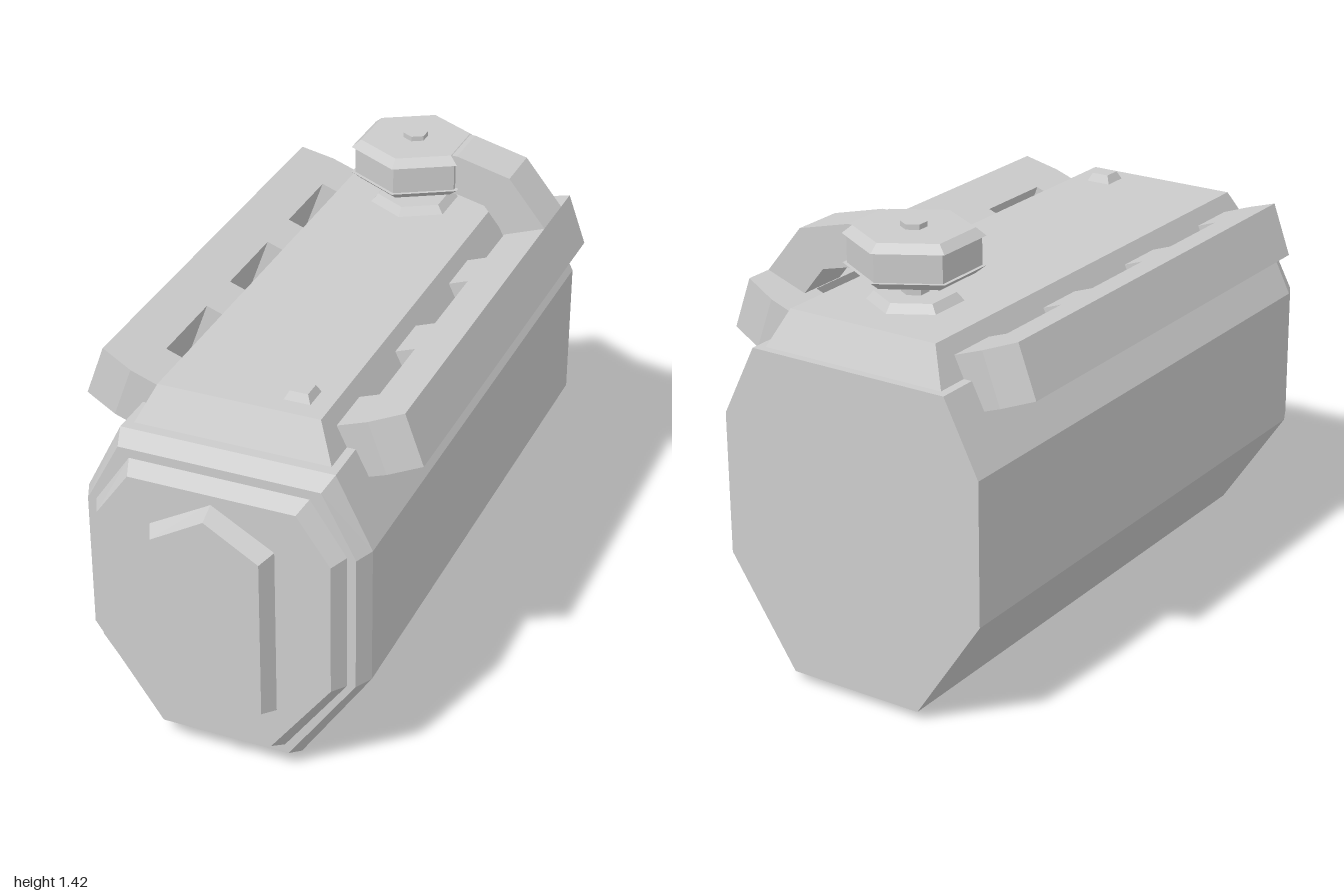
import * as THREE from 'three';

const material = new THREE.MeshStandardMaterial({ color: 0xcccccc, flatShading: true });

function add(parent, name, geometry) {
  const mesh = new THREE.Mesh(geometry, material);
  mesh.name = name;
  parent.add(mesh);
  return mesh;
}

// Joins convex loops of [x, y, z] points (counter-clockwise seen from the last loop) and caps both ends
function loft(loops) {
  const out = [];
  const tri = (a, b, c) => out.push(...a, ...b, ...c);
  const n = loops[0].length;
  for (let k = 0; k < loops.length - 1; k++) {
    const a = loops[k], b = loops[k + 1];
    for (let i = 0; i < n; i++) {
      const j = (i + 1) % n;
      tri(a[i], a[j], b[j]);
      tri(a[i], b[j], b[i]);
    }
  }
  const first = loops[0], last = loops[loops.length - 1];
  for (let i = 1; i < n - 1; i++) {
    tri(first[0], first[i + 1], first[i]);
    tri(last[0], last[i], last[i + 1]);
  }
  const g = new THREE.BufferGeometry();
  g.setAttribute('position', new THREE.Float32BufferAttribute(out, 3));
  g.computeVertexNormals();
  return g;
}

// Symmetric octagon from bottom, side and top half widths and heights
function octagon(z, bottomX, bottomY, sideX, lowY, highY, topX, topY) {
  const half = [[bottomX, bottomY], [sideX, lowY], [sideX, highY], [topX, topY]];
  return [...half, ...half.slice().reverse().map(([x, y]) => [-x, y])].map(([x, y]) => [x, y, z]);
}

// Tall hexagon for the front plate
function hexagon(z, w, low, lowSide, highSide, high) {
  return [[0, low], [w, lowSide], [w, highSide], [0, high], [-w, highSide], [-w, lowSide]].map(([x, y]) => [x, y, z]);
}

// Horizontal rectangle
const rect = (y, x0, x1, z0, z1) => [[x1, y, z1], [x1, y, z0], [x0, y, z0], [x0, y, z1]];

// Notched side rail, laid out flat and tilted onto the shoulder
function railGeometry() {
  const centre = -0.09, halfLength = 0.772, notch = 0.145, tooth = 0.213;
  const pts = [[0, 0.745], [0.11, halfLength], [tooth, halfLength]];
  for (const [start, end] of [[0.6, 0.315], [0.145, -0.145], [-0.315, -0.6]]) {
    pts.push([tooth, start], [notch, start], [notch, end], [tooth, end]);
  }
  pts.push([tooth, -halfLength], [0.11, -halfLength], [0, -0.745]);
  const shape = new THREE.Shape(pts.map(([s, z]) => new THREE.Vector2(s, z)));
  const g = new THREE.ExtrudeGeometry(shape, { depth: 0.175, bevelEnabled: false });
  const tilt = 0.347, c = Math.cos(tilt), s = Math.sin(tilt);
  const m = new THREE.Matrix4().makeBasis(
    new THREE.Vector3(-c, -s, 0), new THREE.Vector3(0, 0, -1), new THREE.Vector3(s, -c, 0));
  m.setPosition(0.48, 1.198, 0);
  g.applyMatrix4(m);
  return { geometry: g, centre };
}

export function createModel() {
  const model = new THREE.Group();
  model.name = 'canister';

  // Main tank with bevelled front edge, and the stepped front cap
  add(model, 'tank', loft([
    octagon(-1, 0.228, 0.03, 0.455, 0.372, 0.83, 0.34, 1.06),
    octagon(0.83, 0.228, 0.03, 0.455, 0.372, 0.83, 0.34, 1.06),
    octagon(0.89, 0.21, 0.06, 0.428, 0.377, 0.826, 0.32, 1.03),
  ]));
  add(model, 'frontCap', loft([
    octagon(0.88, 0.198, 0.09, 0.4, 0.372, 0.83, 0.285, 1.0),
    octagon(0.89, 0.198, 0.09, 0.4, 0.372, 0.83, 0.285, 1.0),
    octagon(0.945, 0.177, 0.118, 0.372, 0.382, 0.822, 0.265, 0.973),
  ]));
  add(model, 'frontPlate', loft([
    hexagon(0.94, 0.2, 0.145, 0.26, 0.83, 0.945),
    hexagon(1, 0.172, 0.175, 0.278, 0.812, 0.915),
  ]));

  // Bottom and top plates
  add(model, 'bottomPlate', loft([
    rect(0, -0.17, 0.17, -0.945, 0.775), rect(0.031, -0.2, 0.2, -0.972, 0.8),
  ]));
  add(model, 'topPlate', loft([
    rect(1.055, -0.315, 0.315, -0.975, 0.797), rect(1.174, -0.258, 0.258, -0.92, 0.742),
  ]));
  add(model, 'button', loft([
    rect(1.17, 0.113, 0.2, 0.595, 0.682), rect(1.2, 0.128, 0.186, 0.61, 0.667),
  ]));

  // Side rails: the right one is the left one turned half round
  const { geometry, centre } = railGeometry();
  for (const [name, turn] of [['leftRail', 0], ['rightRail', Math.PI]]) {
    const rail = add(model, name, geometry);
    rail.rotation.y = turn;
    rail.position.z = centre;
  }

  // Hexagonal valve, turned as one profile
  const valve = new THREE.Group();
  valve.name = 'valve';
  valve.position.z = -0.66;
  model.add(valve);
  const turned = (name, profile) => add(valve, name,
    new THREE.LatheGeometry(profile.map(([r, y]) => new THREE.Vector2(r, y)), 6));
  turned('valveBase', [[0, 1.17], [0.145, 1.174], [0.122, 1.2], [0, 1.2]]);
  turned('valveStem', [[0.042, 1.19], [0.042, 1.27]]);
  turned('valveKnob', [[0, 1.26], [0.178, 1.26], [0.211, 1.285], [0.198, 1.285],
    [0.198, 1.375], [0.211, 1.375], [0.18, 1.4], [0, 1.4]]);
  turned('valveBolt', [[0.04, 1.395], [0.04, 1.416], [0, 1.416]]);

  // Bent arm from the valve to the left rail
  const armShape = new THREE.Shape([
    [0.1, 1.27], [0.185, 1.262], [0.273, 1.24], [0.345, 1.15],
    [0.48, 1.198], [0.355, 1.352], [0.175, 1.398], [0.1, 1.398],
  ].map(([x, y]) => new THREE.Vector2(x, y)));
  const arm = add(model, 'arm', new THREE.ExtrudeGeometry(armShape, { depth: 0.17, bevelEnabled: false }));
  arm.position.z = -0.745;

  return model;
}
